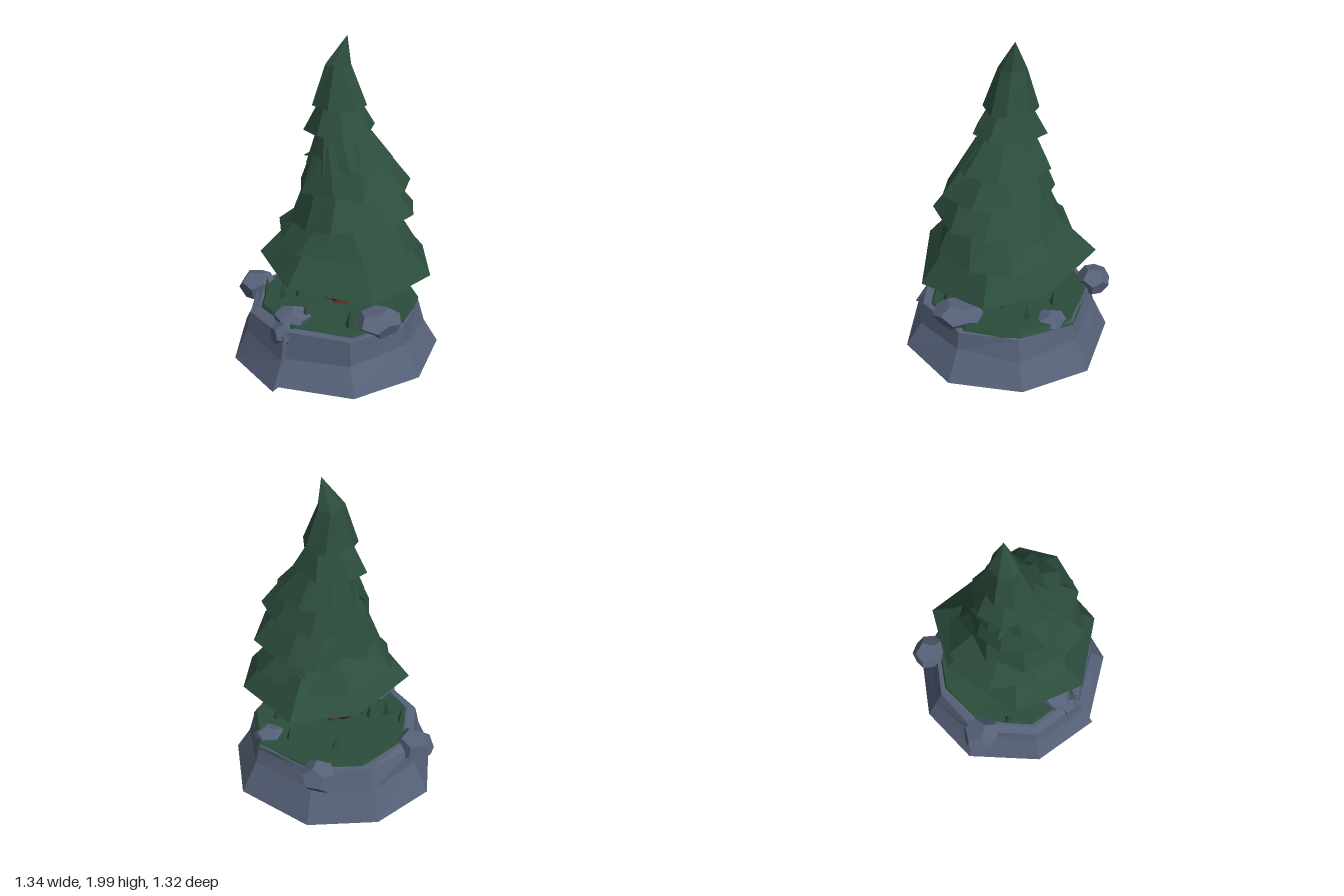
import * as THREE from 'three';

const mat = (name, color) => {
  const m = new THREE.MeshStandardMaterial({ color });
  m.name = name;
  return m;
};

// small seeded generator, returns -1..1
function seeded(seed) {
  let s = seed;
  return () => {
    s = (s * 16807) % 2147483647;
    return (s / 2147483647) * 2 - 1;
  };
}

// faceted skin through rings of [x, y, z]; optional centre points close the ends
function loft(rings, bottom, top) {
  const pos = [];
  const tri = (a, b, c) => pos.push(...a, ...b, ...c);
  const n = rings[0].length;
  for (let i = 0; i < n; i++) {
    const j = (i + 1) % n;
    for (let k = 0; k < rings.length - 1; k++) {
      const lo = rings[k], hi = rings[k + 1];
      tri(lo[i], lo[j], hi[j]);
      tri(lo[i], hi[j], hi[i]);
    }
    if (bottom) tri(bottom, rings[0][j], rings[0][i]);
    const last = rings[rings.length - 1];
    if (top) tri(top, last[i], last[j]);
  }
  const g = new THREE.BufferGeometry();
  g.setAttribute('position', new THREE.Float32BufferAttribute(pos, 3));
  g.computeVertexNormals();
  return g;
}

// hollow skirt: recessed underside, hem, head and tip
function skirt(hem, head, hollow, tip) {
  const inner = hem.map((p, i) => p.map((v, a) => v + (head[i][a] - v) * hollow - (a === 1 ? 0.02 : 0)));
  const y = inner.reduce((sum, p) => sum + p[1], 0) / inner.length;
  return loft([inner, hem, head], [tip[0], y, tip[2]], tip);
}

function faceted(g) {
  const f = g.index ? g.toNonIndexed() : g;
  f.computeVertexNormals();
  return f;
}

export function createModel() {
  const model = new THREE.Group();
  model.name = 'pineOnRock';
  const rock = mat('slate rock', 0x566178);
  const green = mat('pine green', 0x2c4d3c);
  const bark = mat('bark brown', 0x5a382e);
  const add = (name, geometry, material, parent = model) => {
    const m = new THREE.Mesh(geometry, material);
    m.name = name;
    parent.add(m);
    return m;
  };

  // rock base: outline [x, z, foot height], its two ends meeting in a stepped seam at the front
  const outline = [[0.02, 0.63, 0.04], [0.46, 0.48, 0.04], [0.67, 0.08, 0.04], [0.57, -0.36, 0.04], [0.24, -0.66, 0.037],
    [-0.26, -0.63, 0.03], [-0.58, -0.34, 0.022], [-0.67, 0.07, 0.015], [-0.42, 0.49, 0.01], [0.01, 0.66, 0.02]];
  const rnd = seeded(77);
  const baseRing = (s, y, jit = 0) => outline.map(([x, z]) => {
    const k = s + rnd() * jit * 0.8;
    return [x * k, y + rnd() * jit, z * k];
  });
  const foot = outline.map(([x, z, y]) => [x, y, z]);
  add('rockBase', loft([foot, baseRing(0.86, 0.2, 0.03), baseRing(0.82, 0.335, 0.02), baseRing(0.75, 0.35, 0.01)],
    [0, 0.03, 0], [0, 0.34, 0]), rock);

  // grass pad, set slightly back
  const pad = loft([baseRing(0.77, 0.325, 0.02), baseRing(0.74, 0.362, 0.008)], null, [0, 0.358, 0]);
  add('grassPad', pad.translate(0.015, 0, -0.025), green);

  // loose boulders: position, half sizes, turn
  const boulders = [
    [-0.54, 0.32, 0.09, 0.13, 0.105, 0.12, 0.3],
    [-0.27, 0.35, -0.52, 0.12, 0.095, 0.11, 0.7],
    [0.41, 0.365, 0.13, 0.14, 0.075, 0.16, 0.6],
    [-0.05, 0.355, 0.37, 0.12, 0.075, 0.12, 2.0],
    [-0.04, 0.3, 0.47, 0.09, 0.09, 0.08, 0.9],
    [0.22, 0.345, -0.41, 0.1, 0.045, 0.1, 0.2],
  ];
  boulders.forEach(([x, y, z, a, b, c, turn], i) => {
    const g = new THREE.DodecahedronGeometry(1, 0);
    g.rotateY(turn).rotateX(turn * 0.7).scale(a, b, c).translate(x, y, z);
    add('boulder' + (i + 1), faceted(g), rock);
  });

  // bent trunk
  const ring = (cx, y, cz, r, n = 7) => Array.from({ length: n }, (_, i) => {
    const t = (i / n) * Math.PI * 2;
    return [cx + r * Math.sin(t), y, cz + r * Math.cos(t)];
  });
  add('trunk', loft([ring(0.06, 0.33, -0.02, 0.1), ring(0.07, 0.44, -0.02, 0.08), ring(0.105, 0.6, -0.02, 0.068),
    ring(0.1, 0.9, -0.03, 0.05)], null, [0.1, 0.9, -0.03]), bark);

  // pointed roots flaring out of the trunk foot
  const up = new THREE.Vector3(0, 1, 0);
  for (let i = 0; i < 6; i++) {
    const t = (i / 6) * Math.PI * 2 + 0.55;
    const dir = new THREE.Vector3(Math.sin(t) * 0.24, 0.12, Math.cos(t) * 0.21);
    const g = new THREE.ConeGeometry(0.06, dir.length(), 4).translate(0, dir.length() / 2, 0);
    g.applyQuaternion(new THREE.Quaternion().setFromUnitVectors(up, dir.clone().normalize()));
    g.translate(0.02, 0.36, -0.01);
    add('root' + (i + 1), faceted(g), bark);
  }

  // grass spikes: x, z, height
  const spikes = [[-0.37, 0.2, 0.12], [-0.25, 0.2, 0.12], [-0.18, 0.12, 0.1], [-0.2, -0.27, 0.09], [0.28, -0.27, 0.1],
    [0.29, 0.26, 0.11], [0.24, -0.1, 0.08], [0.02, 0.33, 0.1], [0.08, -0.37, 0.1]];
  spikes.forEach(([x, z, h], i) => {
    const g = new THREE.ConeGeometry(0.028, h, 4).rotateY(i).translate(x, 0.355 + h / 2, z);
    add('grassSpike' + (i + 1), faceted(g), green);
  });

  // foliage: lowest skirt has its own seven corners
  const foliage = new THREE.Group();
  foliage.name = 'foliage';
  model.add(foliage);
  const hem = [[0.02, 0.64, 0.51], [0.48, 0.58, 0.33], [0.61, 0.62, -0.13], [0.4, 0.65, -0.43],
    [-0.1, 0.7, -0.57], [-0.36, 0.69, -0.27], [-0.37, 0.68, 0.26]];
  const hemTop = hem.map(([x, y, z]) => [0.08 + (x - 0.08) * 0.66, y * 0.4 + 0.6, -0.03 + (z + 0.03) * 0.66]);
  add('foliageSkirt1', skirt(hem, hemTop, 0.85, [0.09, 0.9, -0.03]), green, foliage);

  // upper skirts: hem [xMin, xMax, zMin, zMax, yLeft, yRight], then head [xMin, xMax, zMin, zMax, y]
  const skirts = [
    [[-0.37, 0.51, -0.45, 0.38, 0.83, 0.77], [-0.19, 0.36, -0.3, 0.26, 0.98]],
    [[-0.26, 0.5, -0.41, 0.36, 0.92, 0.99], [-0.16, 0.33, -0.26, 0.22, 1.18]],
    [[-0.22, 0.48, -0.33, 0.28, 1.12, 1.16], [-0.12, 0.25, -0.21, 0.14, 1.4]],
    [[-0.18, 0.37, -0.3, 0.21, 1.26, 1.29], [-0.1, 0.16, -0.18, 0.1, 1.5]],
    [[-0.2, 0.23, -0.26, 0.17, 1.45, 1.48], [-0.07, 0.1, -0.15, 0.05, 1.67]],
    [[-0.15, 0.17, -0.21, 0.12, 1.61, 1.6], [-0.075, 0.075, -0.14, 0.03, 1.83]],
  ];
  skirts.forEach(([low, high], k) => {
    const r = seeded(911 + k * 137);
    const n = k < 4 ? 9 : 7;
    const last = k === skirts.length - 1;
    const corners = ([x0, x1, z0, z1, yl, yr = yl], jit) => Array.from({ length: n }, (_, i) => {
      const t = ((i + r() * 0.2) / n) * Math.PI * 2 + k * 0.4;
      const s = 1.02 + r() * jit;
      const u = 0.5 + 0.5 * Math.sin(t) * s, v = 0.5 + 0.5 * Math.cos(t) * s;
      return [x0 + (x1 - x0) * u, yl + (yr - yl) * u + r() * jit * 0.25, z0 + (z1 - z0) * v];
    });
    const cx = (high[0] + high[1]) / 2, cz = (high[2] + high[3]) / 2;
    const tip = last ? [0.04, 2, -0.085] : [cx, high[4] + 0.03, cz];
    add('foliageSkirt' + (k + 2), skirt(corners(low, 0.05), corners(high, 0.04), 0.6, tip), green, foliage);
  });

  // stray needle shards under the hems
  const shards = [[0.42, 1.0, 0.08], [0.46, 0.82, 0.1], [-0.14, 1.29, 0.02], [-0.28, 0.85, 0.1]];
  shards.forEach(([x, y, z], i) => {
    const g = new THREE.ConeGeometry(0.04, 0.14, 3).rotateZ(x > 0 ? -1.9 : 1.9).translate(x, y, z);
    add('needleShard' + (i + 1), faceted(g), green, foliage);
  });
  return model;
}
